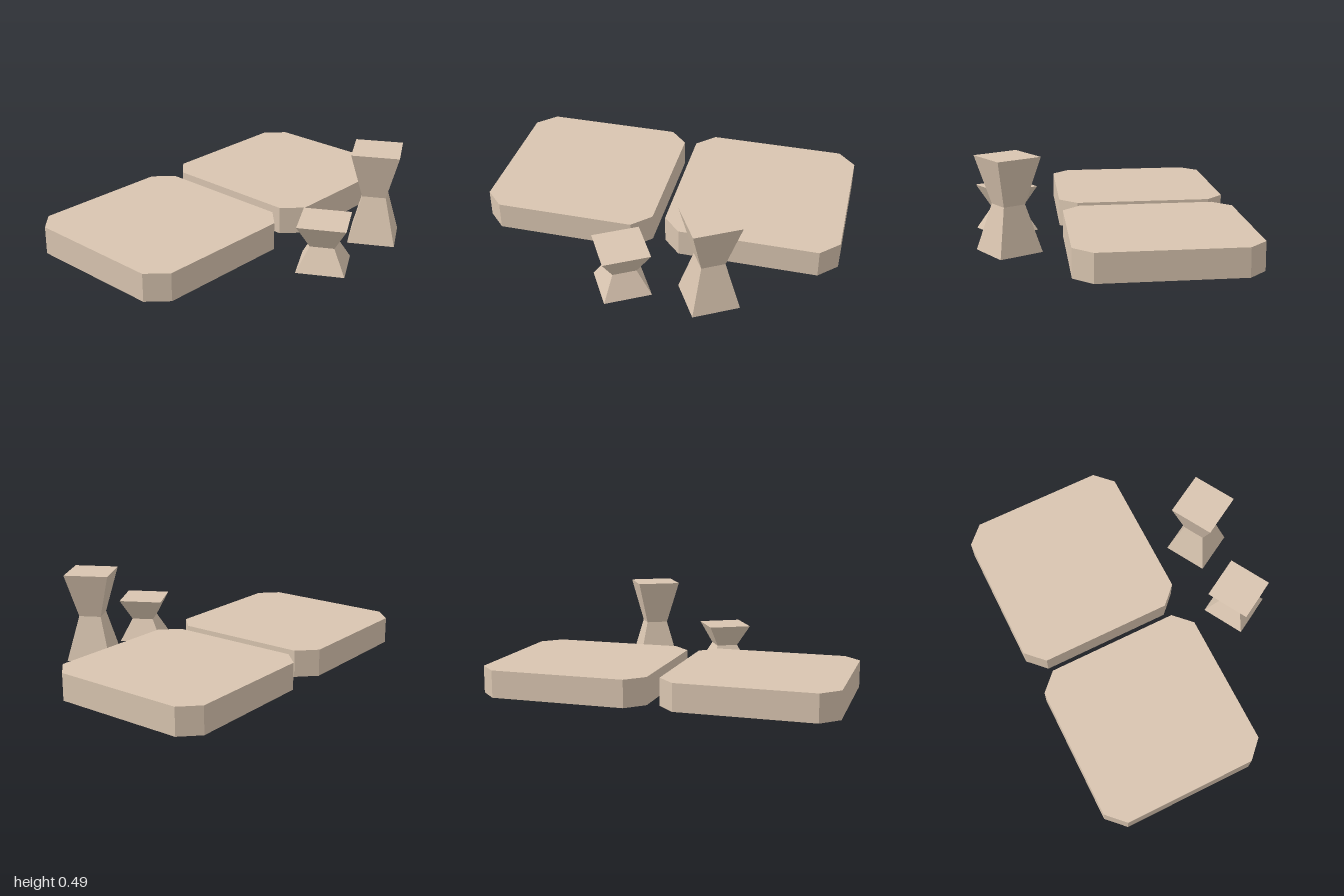
import * as THREE from 'three';

const material = new THREE.MeshStandardMaterial({ color: 0xd9c5b0, flatShading: true });

// Square slab with chamfered corners, turned 30 degrees
function makeSlab(name, x, z) {
  const half = 0.456, inner = 0.362, height = 0.146;
  const shape = new THREE.Shape([
    [inner, -half], [half, -inner], [half, inner], [inner, half],
    [-inner, half], [-half, inner], [-half, -inner], [-inner, -half],
  ].map(([a, b]) => new THREE.Vector2(a, b)));
  const geometry = new THREE.ExtrudeGeometry(shape, { depth: height, bevelEnabled: false });
  geometry.rotateX(-Math.PI / 2);
  const slab = new THREE.Mesh(geometry, material);
  slab.name = name;
  slab.rotation.y = -Math.PI / 6;
  slab.position.set(x, 0, z);
  return slab;
}

// Square pillar pinched at mid height: a four-sided lathe
function makePillar(name, x, z, height) {
  const end = 0.121 * Math.SQRT2, waist = end / 2;
  const profile = [[0, 0], [end, 0], [waist, height / 2], [end, height], [0, height]]
    .map(([r, y]) => new THREE.Vector2(r, y));
  const pillar = new THREE.Mesh(new THREE.LatheGeometry(profile, 4, Math.PI / 4), material);
  pillar.name = name;
  pillar.position.set(x, 0, z);
  return pillar;
}

export function createModel() {
  const model = new THREE.Group();
  model.name = 'slabsAndPillars';
  model.add(
    makeSlab('backSlab', 0.183, -0.427),
    makeSlab('frontSlab', -0.301, 0.423),
    makePillar('tallPillar', 0.753, 0.062, 0.486),
    makePillar('shortPillar', 0.543, 0.448, 0.243),
  );
  return model;
}
